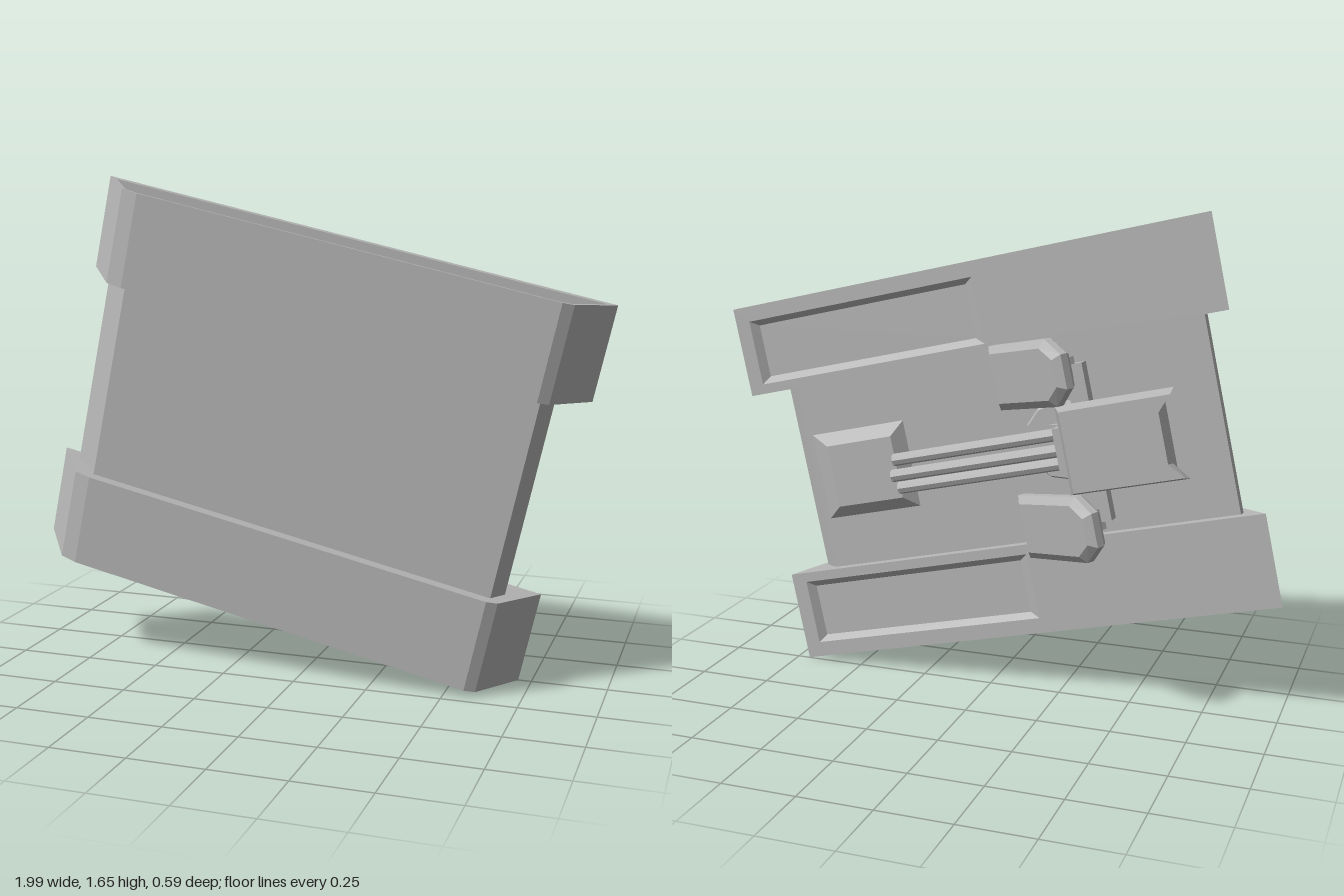
import * as THREE from 'three';

const grey = new THREE.MeshStandardMaterial({ color: 0xb6b6b6 });
grey.name = 'hull grey';

function add(parent, name, geometry) {
  const flat = geometry.index ? geometry.toNonIndexed() : geometry;
  flat.computeVertexNormals();
  const mesh = new THREE.Mesh(flat, grey);
  mesh.name = name;
  parent.add(mesh);
  return mesh;
}

const vectors = (pts) => pts.map(([x, y]) => new THREE.Vector2(x, y));

// Counter-clockwise side profile (x, y) swept across the width from z0 to z1
function slab(pts, z0, z1, hole) {
  const shape = new THREE.Shape(vectors(pts));
  if (hole) shape.holes.push(new THREE.Path(vectors(hole)));
  const g = new THREE.ExtrudeGeometry(shape, { depth: Math.abs(z1 - z0), bevelEnabled: false });
  return g.translate(0, 0, Math.min(z0, z1));
}

// Surface through matching rings of points, counter-clockwise seen from the last ring
function loft(rings, caps = true) {
  const n = rings[0].length, pos = rings.flat(2), idx = [];
  for (let i = 0; i < rings.length - 1; i++) {
    for (let j = 0; j < n; j++) {
      const a = i * n + j, b = i * n + (j + 1) % n;
      idx.push(a, b, b + n, a, b + n, a + n);
    }
  }
  const top = (rings.length - 1) * n;
  for (let j = 1; caps && j < n - 1; j++) idx.push(0, j + 1, j, top, top + j, top + j + 1);
  const g = new THREE.BufferGeometry();
  g.setAttribute('position', new THREE.Float32BufferAttribute(pos, 3));
  g.setIndex(idx);
  return g;
}

// Level rectangle used as a loft ring
const rect = (x0, x1, z0, z1, y) => [[x1, y, z1], [x1, y, z0], [x0, y, z0], [x0, y, z1]];

function box(x0, x1, y0, y1, z0, z1) {
  return new THREE.BoxGeometry(x1 - x0, y1 - y0, z1 - z0)
    .translate((x0 + x1) / 2, (y0 + y1) / 2, (z0 + z1) / 2);
}

function trackUnit(s) {
  const g = new THREE.Group();
  g.name = s > 0 ? 'upperTrack' : 'lowerTrack';
  const outline = [[-0.855, -0.025], [-0.736, -0.195], [-0.676, -0.212], [0.73, -0.212], [0.765, -0.195], [0.859, -0.025]];
  const opening = [[-0.832, -0.034], [-0.727, -0.186], [-0.672, -0.202], [0.726, -0.202], [0.756, -0.188], [0.842, -0.034]];
  add(g, 'trackBody', slab(outline, s * 0.333, s * 0.56));
  add(g, 'trackSkirt', slab(outline, s * 0.56, s * 0.648, opening));

  // Deck plate with a sunken, sloped panel
  const rings = [
    rect(-0.855, 0.859, 0.333, 0.648, -0.025),
    rect(-0.873, 0.873, 0.333, 0.648, 0),
    rect(-0.04, 0.82, 0.367, 0.595, 0),
    rect(-0.005, 0.795, 0.39, 0.575, -0.023),
  ].map((r) => {
    const m = r.map(([x, y, z]) => [x, y, s * z]);
    return s > 0 ? m : m.reverse();
  });
  add(g, 'trackDeck', loft(rings, false));
  add(g, 'panelFloor', loft([rings[3].map(([x, , z]) => [x, -0.025, z]), rings[3]]));

  // Seven eight-sided road wheels with wide bevels
  for (let i = 0; i < 7; i++) {
    const wheel = new THREE.CylinderGeometry(0.066, 0.096, 0.05, 8).rotateY(Math.PI / 8);
    add(g, 'wheel', wheel.rotateX(s * Math.PI / 2).translate(-0.662 + i * 0.2235, -0.117, s * 0.585));
  }
  return g;
}

// Slanted shield with a tapered upper end and bevelled faces
function shield(s) {
  const g = new THREE.Group();
  g.name = s > 0 ? 'upperShield' : 'lowerShield';
  const ring = (k, y) => [
    [0.19 - k, y, 0.108 - k], [0.19 - k, y, -0.108 + k], [-0.13 + k / 2, y, -0.108 + k],
    [-0.2 + k, y, -0.055 + k / 2], [-0.2 + k, y, 0.055 - k / 2], [-0.13 + k / 2, y, 0.108 - k],
  ];
  add(g, 'shieldPlate', loft([ring(0.012, -0.03), ring(0, -0.015), ring(0, 0.01), ring(0.025, 0.03)]));
  g.position.set(-0.245, 0.2, s * 0.253);
  g.rotation.z = -0.64;
  return g;
}

export function createModel() {
  const model = new THREE.Group();
  model.name = 'tiltedTank';

  // The vehicle is built upright, then laid over on its side
  const tank = new THREE.Group();
  tank.name = 'tank';
  const along = new THREE.Vector3(0.974, -0.223, -0.017).normalize();
  const up = new THREE.Vector3(0.224, 0.97, 0.042).cross(along).normalize();
  const across = along.clone().cross(up);
  tank.quaternion.setFromRotationMatrix(new THREE.Matrix4().makeBasis(along, up, across));
  tank.position.set(0, 0.826, 0.043);
  model.add(tank);

  // Hull between the tracks, with a raised hatch
  add(tank, 'hull', slab([[0.71, -0.04], [-0.785, -0.04], [-0.79, -0.06], [-0.68, -0.17], [0.735, -0.17], [0.77, -0.1]], -0.335, 0.335));
  add(tank, 'hatch', loft([rect(0.33, 0.69, -0.155, 0.155, -0.041), rect(0.37, 0.62, -0.11, 0.11, 0.005)]));

  for (const s of [1, -1]) tank.add(trackUnit(s));

  // Turret
  const turret = new THREE.Group();
  turret.name = 'turret';
  tank.add(turret);
  add(turret, 'turretRing', new THREE.CylinderGeometry(0.13, 0.14, 0.025, 12).translate(-0.24, -0.029, 0));
  add(turret, 'neck', slab([[-0.48, -0.03], [-0.18, -0.03], [-0.4, 0.16], [-0.65, 0.16]], -0.06, 0.06));
  add(turret, 'headBase', slab([[-0.65, 0.14], [-0.42, 0.14], [-0.34, 0.2], [-0.34, 0.255], [-0.65, 0.255]], -0.12, 0.12));

  // Head roof, notched at the rear and bevelled along its sides
  const roof = [[-0.32, -0.145], [-0.32, 0.145], [-0.71, 0.145], [-0.665, 0.09], [-0.665, -0.09], [-0.71, -0.145]];
  const roofGeo = slab(roof, 0, 0.065).rotateX(-Math.PI / 2).translate(0, 0.245, 0);
  const p = roofGeo.attributes.position;
  for (let i = 0; i < p.count; i++) {
    if (p.getY(i) < 0.28) continue;
    p.setZ(i, p.getZ(i) * 0.9);
    if (p.getX(i) > -0.4) p.setX(i, -0.35);
  }
  add(turret, 'headRoof', roofGeo);

  // Three-barrel gun
  add(turret, 'gunMount', box(-0.42, -0.3, 0.16, 0.255, -0.075, 0.075));
  for (const [y, z] of [[0.187, -0.048], [0.187, 0.048], [0.222, 0]]) {
    add(turret, 'barrel', new THREE.CylinderGeometry(0.021, 0.021, 0.61, 8).rotateZ(-Math.PI / 2).translate(-0.015, y, z));
  }

  // Shields on a cross arm
  add(turret, 'crossArm', box(-0.41, -0.35, 0.11, 0.16, -0.26, 0.26));
  for (const s of [1, -1]) {
    turret.add(shield(s));
    const bracket = add(turret, 'shieldBracket', new THREE.BoxGeometry(0.15, 0.08, 0.07));
    bracket.position.set(-0.3, 0.135, s * 0.25);
    bracket.rotation.z = -0.64;
  }
  return model;
}
